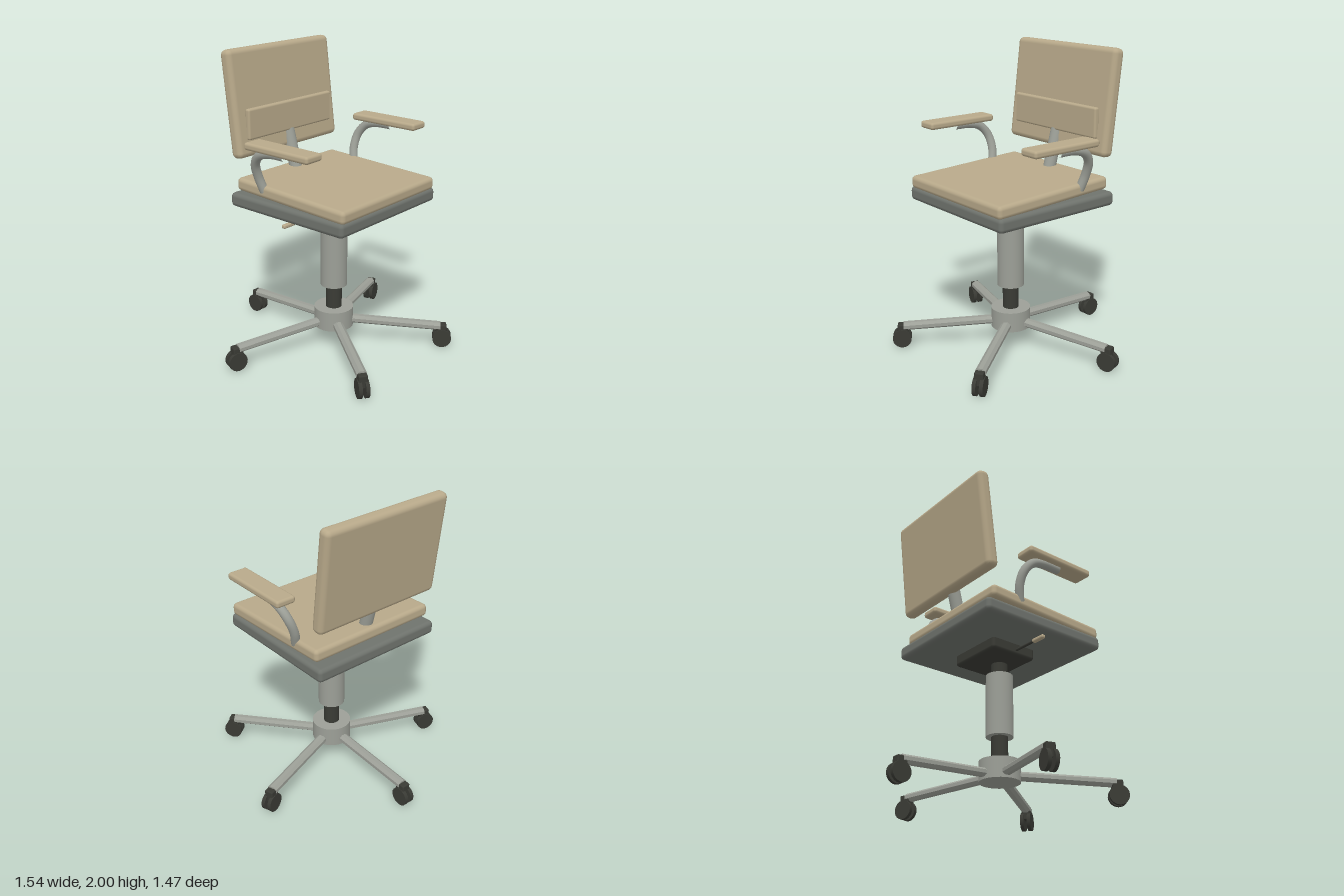
import * as THREE from 'three';
import { RoundedBoxGeometry } from 'three/addons/geometries/RoundedBoxGeometry.js';

function material(name, color, flatShading = false) {
  const m = new THREE.MeshStandardMaterial({ color, flatShading });
  m.name = name;
  return m;
}

export function createModel() {
  const beige = material('beigeUpholstery', 0xb8a98a);
  const metal = material('greyMetal', 0x9c9f97);
  const shell = material('darkGreyShell', 0x6f736d);
  const black = material('blackPlastic', 0x3a3b35);

  const chair = new THREE.Group();
  chair.name = 'officeChair';

  function add(name, geometry, mat, x, y, z, parent = chair) {
    const mesh = new THREE.Mesh(geometry, mat);
    mesh.name = name;
    mesh.position.set(x, y, z);
    parent.add(mesh);
    return mesh;
  }
  const pad = (w, h, d, r) => new RoundedBoxGeometry(w, h, d, 2, r);
  const rod = (r, h, sides = 32) => new THREE.CylinderGeometry(r, r, h, sides);

  // Cylinder stretched between two points
  function strut(name, a, b, r, mat, parent = chair) {
    const dir = b.clone().sub(a);
    const mid = a.clone().add(b).multiplyScalar(0.5);
    const mesh = add(name, rod(r, dir.length()), mat, mid.x, mid.y, mid.z, parent);
    mesh.quaternion.setFromUnitVectors(new THREE.Vector3(0, 1, 0), dir.normalize());
    return mesh;
  }

  // Star base: hub, five sloping legs and twin-wheel casters
  const base = new THREE.Group();
  base.name = 'starBase';
  base.position.z = 0.07;
  chair.add(base);
  add('hub', rod(0.132, 0.135, 40), metal, 0, 0.2025, 0, base);

  // Octagonal bar lying along z
  const legLength = 0.665;
  const legGeometry = new THREE.CylinderGeometry(1.0824, 1.0824, legLength, 8, 1, false, Math.PI / 8)
    .toNonIndexed()
    .rotateX(Math.PI / 2)
    .scale(0.033, 0.027, 1);
  legGeometry.computeVertexNormals();

  for (let i = 0; i < 5; i++) {
    const arm = new THREE.Group();
    arm.name = 'baseLeg' + (i + 1);
    arm.rotation.y = Math.PI + (i * Math.PI * 2) / 5;
    base.add(arm);

    add('leg', legGeometry, metal, 0, 0.163, 0.06 + legLength / 2, arm).rotation.x = 0.055;
    add('casterHousing', pad(0.06, 0.09, 0.07, 0.008), black, 0, 0.115, 0.73, arm);
    for (const s of [-1, 1]) {
      const wheel = add('casterWheel', rod(0.063, 0.024, 24), black, s * 0.023, 0.063, 0.736, arm);
      wheel.rotation.z = Math.PI / 2;
    }
  }

  // Gas lift
  add('innerColumn', rod(0.054, 0.7), black, 0, 0.6, 0.07);
  add('columnSleeve', rod(0.089, 0.42), metal, 0, 0.64, 0.07);

  // Tilt mechanism with height lever
  add('mechanism', pad(0.4, 0.1, 0.34, 0.02), black, 0, 0.98, 0.03);
  strut('leverRod', new THREE.Vector3(-0.15, 0.963, 0.05), new THREE.Vector3(-0.38, 0.963, 0.05), 0.009, black);
  add('leverGrip', pad(0.1, 0.026, 0.03, 0.01), beige, -0.412, 0.963, 0.05);

  // Seat
  add('seatPan', pad(0.955, 0.092, 0.935, 0.028), shell, 0, 1.048, 0.065);
  add('seatCushion', pad(0.93, 0.085, 0.885, 0.028), beige, 0, 1.142, 0.09).rotation.x = 0.04;

  // Back
  add('backrest', pad(0.935, 0.685, 0.088, 0.035), beige, 0, 1.66, -0.387).rotation.x = -0.12;
  add('lumbarPad', pad(0.78, 0.2, 0.038, 0.014), beige, 0, 1.535, -0.315);
  strut('backPost', new THREE.Vector3(0, 1.08, -0.24), new THREE.Vector3(0, 1.44, -0.335), 0.042, metal);

  // Armrests
  for (const s of [-1, 1]) {
    const arm = new THREE.Group();
    arm.name = s > 0 ? 'leftArmrest' : 'rightArmrest';
    chair.add(arm);
    const path = new THREE.CatmullRomCurve3([
      [0.44, 1.15, -0.125], [0.468, 1.25, -0.148], [0.5, 1.34, -0.138],
      [0.518, 1.405, -0.085], [0.52, 1.432, 0], [0.52, 1.437, 0.13],
    ].map(([x, y, z]) => new THREE.Vector3(s * x, y, z)));
    add('armTube', new THREE.TubeGeometry(path, 28, 0.029, 14), metal, 0, 0, 0, arm);
    add('armPad', pad(0.138, 0.048, 0.515, 0.018), beige, s * 0.517, 1.467, 0.107, arm);
  }

  return chair;
}
